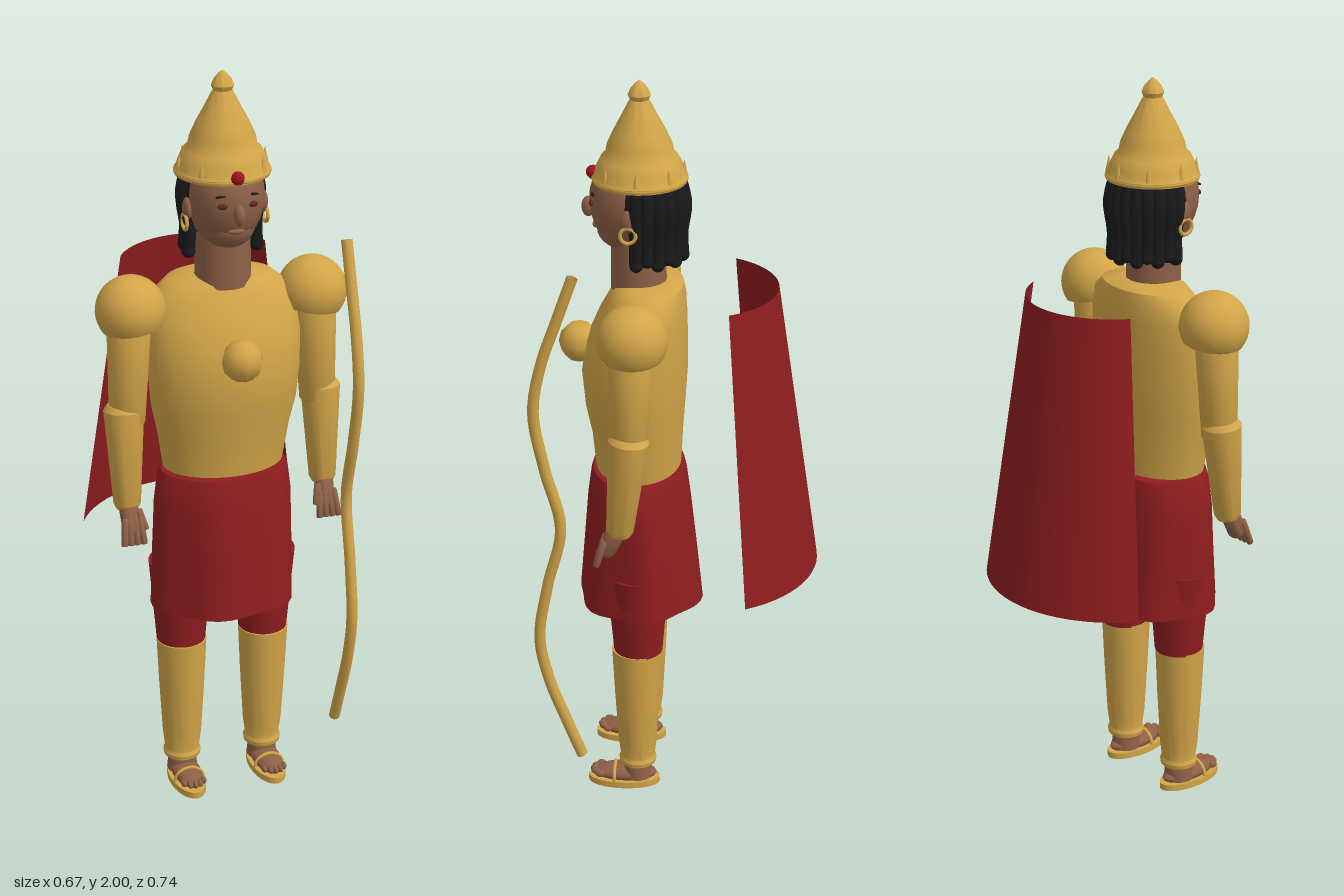
import * as THREE from 'three';
import { toCreasedNormals } from 'three/addons/utils/BufferGeometryUtils.js';

const mat = (name, color, side = THREE.FrontSide) => {
  const m = new THREE.MeshStandardMaterial({ color, side });
  m.name = name;
  return m;
};

// Closed loft through rings of [y, half width, z back, z front]
function loft(rings, n, wave = () => 0) {
  const all = [[rings[0][0], 0, ...rings[0].slice(2)], ...rings, [rings.at(-1)[0], 0, ...rings.at(-1).slice(2)]];
  const pos = [], idx = [];
  all.forEach(([y, rx, zb, zf], i) => {
    const open = rx === 0 ? 0 : 1, zc = (zb + zf) / 2, rz = (zf - zb) / 2;
    for (let j = 0; j <= n; j++) {
      const t = (j / n) * Math.PI * 2, k = open * (1 + wave(t, i / (all.length - 1)));
      pos.push(Math.sin(t) * rx * k, y, zc + Math.cos(t) * rz * k);
      if (i < all.length - 1 && j < n) {
        const a = i * (n + 1) + j, d = a + n + 1;
        idx.push(a, a + 1, d + 1, a, d + 1, d);
      }
    }
  });
  const g = new THREE.BufferGeometry();
  g.setAttribute('position', new THREE.Float32BufferAttribute(pos, 3));
  g.setIndex(idx);
  return toCreasedNormals(g, 0.7);
}

const lathe = (points, n = 32) =>
  toCreasedNormals(new THREE.LatheGeometry(points.map(([r, y]) => new THREE.Vector2(r, y)), n), 0.6);

export function createModel() {
  const model = new THREE.Group();
  model.name = 'archer';
  const gold = mat('gold', 0xd2a548, THREE.DoubleSide);
  const red = mat('red cloth', 0x8f1d1f, THREE.DoubleSide);
  const skin = mat('skin', 0x8f6047);
  const hair = mat('black hair', 0x1a1a1a);
  const eye = mat('eye', 0x5a2a22);
  const gem = mat('ruby', 0xa01420);

  const add = (name, geo, material, x = 0, y = 0, z = 0, parent = model) => {
    const m = new THREE.Mesh(geo, material);
    m.name = name;
    m.position.set(x, y, z);
    parent.add(m);
    return m;
  };
  const ball = (name, material, r, x, y, z, sx = 1, sy = 1, sz = 1) => {
    const m = add(name, new THREE.SphereGeometry(r, 20, 14), material, x, y, z);
    m.scale.set(sx, sy, sz);
    return m;
  };
  // Tapered limb between two points
  const limb = (name, material, from, to, r0, r1) => {
    const a = new THREE.Vector3(...from), b = new THREE.Vector3(...to);
    const h = a.distanceTo(b), e = Math.min(r0, r1) * 0.4;
    const g = lathe([[0, 0], [r0 * 0.8, 0], [r0, e], [r1, h - e], [r1 * 0.8, h], [0, h]], 24);
    const m = add(name, g, material, ...from);
    m.quaternion.setFromUnitVectors(new THREE.Vector3(0, 1, 0), b.sub(a).normalize());
  };

  // Breastplate with its boss
  add('breastplate', loft([
    [0.95, 0.162, -0.003, 0.225], [1.05, 0.178, -0.008, 0.234], [1.13, 0.195, -0.014, 0.25],
    [1.22, 0.203, -0.02, 0.258], [1.31, 0.206, -0.02, 0.243], [1.38, 0.198, -0.018, 0.213],
    [1.43, 0.178, -0.015, 0.185], [1.46, 0.14, -0.01, 0.168], [1.472, 0.075, 0.01, 0.155],
  ], 40), gold);
  add('chestBoss', new THREE.SphereGeometry(0.055, 8, 6), gold, 0, 1.29, 0.265);

  // Pleated skirt
  add('skirt', loft([
    [0.555, 0.2, -0.062, 0.275], [0.7, 0.196, -0.047, 0.263], [0.85, 0.19, -0.03, 0.25],
    [0.92, 0.18, -0.02, 0.24], [0.942, 0.168, -0.014, 0.234],
  ], 40, (t, v) => 0.05 * (1 - v) * Math.cos(6 * t + 1.8)), red);

  // Cape, part of an open cone
  add('cape', new THREE.CylinderGeometry(0.227, 0.344, 0.785, 24, 1, true, Math.PI - 1.085, 2.17), red, 0, 1.0625, -0.03);

  // Neck, head and face
  add('neck', new THREE.CylinderGeometry(0.07, 0.073, 0.15, 24), skin, 0, 1.525, 0.107);
  ball('head', skin, 0.1, 0, 1.685, 0.12, 1, 1.3, 1.13);
  ball('jaw', skin, 0.07, 0, 1.615, 0.145, 1, 0.85, 1);
  ball('nose', skin, 0.018, 0, 1.665, 0.235, 0.8, 1.5, 1);
  ball('lips', skin, 0.022, 0, 1.618, 0.214, 1, 0.35, 0.5);
  for (const s of [-1, 1]) {
    ball('eye', eye, 0.016, s * 0.037, 1.688, 0.222, 1, 0.5, 0.45);
    const brow = ball('eyebrow', hair, 0.02, s * 0.038, 1.713, 0.217, 1, 0.15, 0.35);
    brow.rotation.z = -s * 0.12;
    ball('ear', skin, 0.025, s * 0.1, 1.66, 0.125, 0.5, 1.2, 0.8);
    add('earring', new THREE.TorusGeometry(0.02, 0.005, 8, 20), gold, s * 0.107, 1.625, 0.125).rotation.y = Math.PI / 2;
  }

  // Hair cap and hanging locks around the back
  ball('hairCap', hair, 0.108, 0, 1.685, 0.09, 1, 1.2, 1.02);
  for (let i = 0; i < 13; i++) {
    const t = Math.PI + (i - 6) * 0.285, s = Math.sin(t), c = Math.cos(t);
    const at = (r, y) => new THREE.Vector3(s * r * 0.94, y, 0.092 + c * r);
    const low = 1.54 + 0.012 * (i % 2);
    const path = new THREE.CatmullRomCurve3([at(0.09, 1.75), at(0.105, 1.68), at(0.095, 1.6), at(0.098, low)]);
    add('hairLock', new THREE.TubeGeometry(path, 10, 0.018, 8), hair);
    ball('hairTip', hair, 0.018, ...at(0.098, low).toArray());
  }

  // Tall crown with rim, spikes and jewel
  add('crown', lathe([
    [0, 1.738], [0.121, 1.738], [0.123, 1.75], [0.118, 1.756], [0.112, 1.775], [0.1, 1.8], [0.088, 1.812],
    [0.083, 1.835], [0.068, 1.868], [0.048, 1.905], [0.03, 1.94], [0.024, 1.95], [0.029, 1.962],
    [0.022, 1.978], [0.01, 1.992], [0, 2],
  ], 36), gold, 0, 0, 0.102);
  add('crownRim', new THREE.TorusGeometry(0.119, 0.005, 8, 36), gold, 0, 1.745, 0.102).rotation.x = Math.PI / 2;
  for (let i = 1; i < 8; i++) {
    const t = (i * Math.PI) / 4;
    add('crownSpike', new THREE.ConeGeometry(0.009, 0.042, 8), gold, 0.113 * Math.sin(t), 1.775, 0.102 + 0.113 * Math.cos(t));
  }
  add('crownJewel', new THREE.SphereGeometry(0.018, 8, 6), gem, 0, 1.757, 0.222);

  for (const s of [-1, 1]) {
    // Arm
    const pauldron = add('pauldron', new THREE.SphereGeometry(0.091, 28, 14, 0, Math.PI * 2, 0, 2.05), gold, s * 0.245, 1.398, 0.105);
    pauldron.rotation.z = -s * 0.15;
    add('pauldronBase', new THREE.CircleGeometry(0.081, 28), gold, 0, -0.042, 0, pauldron).rotation.x = Math.PI / 2;
    limb('upperArm', gold, [s * 0.262, 1.08, 0.115], [s * 0.25, 1.4, 0.108], 0.047, 0.058);
    limb('forearm', gold, [s * 0.272, 0.862, 0.14], [s * 0.27, 1.145, 0.112], 0.036, 0.053);
    limb('hand', skin, [s * 0.27, 0.805, 0.178], [s * 0.272, 0.885, 0.142], 0.024, 0.026);
    for (let i = 0; i < 4; i++)
      limb('finger', skin, [s * (0.244 + i * 0.018), 0.78, 0.2], [s * (0.25 + i * 0.013), 0.85, 0.178], 0.009, 0.009);
    limb('thumb', skin, [s * 0.236, 0.815, 0.19], [s * 0.25, 0.865, 0.165], 0.009, 0.01);

    // Leg, greave and sandal
    const x = s * 0.117;
    add('thigh', new THREE.CylinderGeometry(0.086, 0.066, 0.24, 28), red, x, 0.55, 0.107);
    add('greave', lathe([
      [0, 0.062], [0.042, 0.062], [0.05, 0.07], [0.052, 0.082], [0.047, 0.092], [0.053, 0.14],
      [0.062, 0.3], [0.068, 0.434], [0, 0.434],
    ]), gold, x, 0, 0.111);
    add('ankle', new THREE.CylinderGeometry(0.038, 0.042, 0.045, 20), skin, x, 0.045, 0.112);
    add('sandalSole', new THREE.CylinderGeometry(0.1, 0.1, 0.018, 32), gold, x, 0.009, 0.15).scale.x = 0.47;
    ball('foot', skin, 0.09, x, 0.03, 0.148, 0.44, 0.26, 1);
    const strap = add('sandalStrap', new THREE.TorusGeometry(0.04, 0.005, 8, 20, Math.PI), gold, x, 0.018, 0.175);
    strap.scale.y = 0.9;
    for (let i = 0; i < 5; i++)
      ball('toe', skin, 0.01, x + (i - 2) * 0.014, 0.034, 0.232 - 0.004 * (i - 2) ** 2, 0.8, 1, 1.3);
  }

  // Double-curved bow
  const bow = new THREE.CatmullRomCurve3([
    [1.577, 0.248], [1.46, 0.29], [1.34, 0.332], [1.21, 0.355], [1.05, 0.33], [0.88, 0.292],
    [0.71, 0.33], [0.55, 0.355], [0.42, 0.332], [0.3, 0.29], [0.188, 0.248],
  ].map(([y, z]) => new THREE.Vector3(0.281, y, z)));
  add('bow', new THREE.TubeGeometry(bow, 60, 0.015, 10), gold);

  return model;
}
